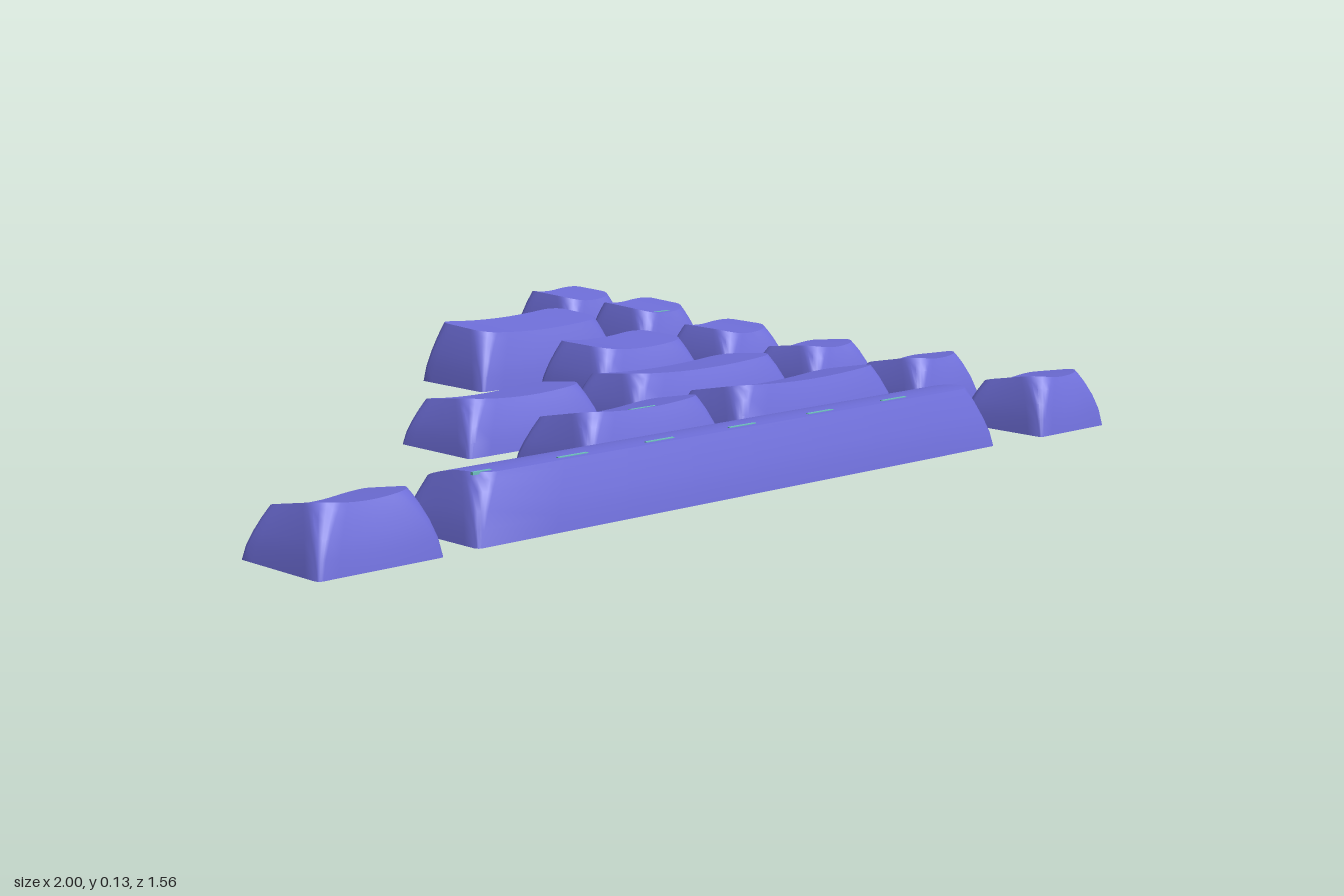
import * as THREE from 'three';
import { toCreasedNormals } from 'three/addons/utils/BufferGeometryUtils.js';

const violet = new THREE.MeshStandardMaterial({ color: 0x7070dc });
violet.name = 'violet plastic';
const teal = new THREE.MeshStandardMaterial({ color: 0x6fc0c0 });
teal.name = 'teal marking';

const EDGE = 8, ARC = 5; // subdivisions of straight edges and corners
const lerp = THREE.MathUtils.lerp;

// Rounded rectangle as [x, z] points, with subdivided straight edges
function outline(hw, hd, r) {
  const corners = [[1, 1], [-1, 1], [-1, -1], [1, -1]];
  const pts = [];
  corners.forEach(([sx, sz], c) => {
    for (let i = 0; i <= ARC; i++) {
      const a = (c + i / ARC) * Math.PI / 2;
      pts.push([sx * (hw - r) + r * Math.cos(a), sz * (hd - r) + r * Math.sin(a)]);
    }
    const [px, pz] = pts[pts.length - 1];
    const [nx, nz] = corners[(c + 1) % 4];
    const a = (c + 1) * Math.PI / 2;
    const qx = nx * (hw - r) + r * Math.cos(a), qz = nz * (hd - r) + r * Math.sin(a);
    for (let i = 1; i < EDGE; i++) pts.push([lerp(px, qx, i / EDGE), lerp(pz, qz, i / EDGE)]);
  });
  return pts;
}

// Skin consecutive loops of equal point count
function skin(loops) {
  const n = loops[0].length, index = [];
  for (let k = 0; k < loops.length - 1; k++) {
    for (let i = 0; i < n; i++) {
      const a = k * n + i, b = k * n + (i + 1) % n;
      index.push(a, b, a + n, b, b + n, a + n);
    }
  }
  const g = new THREE.BufferGeometry();
  g.setAttribute('position', new THREE.Float32BufferAttribute(loops.flat(2), 3));
  g.setIndex(index);
  return toCreasedNormals(g, 0.6);
}

const SIDE = 0.033, FRONT = 0.032, BACK = 0.015, WALL = 0.015;

// Height of the sloping, dished top; the long bar bulges instead
function topHeight(k, x, z) {
  const u = x / (k.w / 2 - SIDE);
  const v = (z - (BACK - FRONT) / 2) / (k.d / 2 - (BACK + FRONT) / 2);
  const plane = lerp(k.backY, k.frontY, (v + 1) / 2);
  return k.bar ? plane + 0.01 * (1 - v * v) : plane - 0.01 * (1 - u * u);
}

// Hollow cap: top centre -> rim -> outer walls -> bottom lip -> inner walls -> ceiling
function capGeometry(k) {
  const level = (t, wall, drop) => {
    const e = Math.pow(t, 1.4);
    const pts = outline(k.w / 2 - SIDE * e - wall, k.d / 2 - (FRONT + BACK) / 2 * e - wall,
      lerp(0.01, 0.038, e) - wall * 0.3 * e);
    return pts.map(([x, z]) => {
      const zz = z + (BACK - FRONT) / 2 * e;
      return [x, t * (topHeight(k, x, zz) - drop), zz];
    });
  };
  const shrink = (loop, s, drop) => loop.map(([x, , z]) => {
    const zc = (BACK - FRONT) / 2;
    const px = x * s, pz = zc + (z - zc) * s;
    return [px, topHeight(k, px, pz) - drop, pz];
  });
  const ts = [1, 0.9, 0.75, 0.5, 0.25, 0];
  const rim = level(1, 0, 0), ceiling = level(1, WALL, 0.016);
  const loops = [0, 0.2, 0.4, 0.6, 0.8].map(s => shrink(rim, s, 0));
  ts.forEach(t => loops.push(level(t, 0, 0)));
  [0, 0.5, 1].forEach(t => loops.push(level(t, WALL, 0.016)));
  [0.66, 0.33, 0].forEach(s => loops.push(shrink(ceiling, s, 0.016)));
  return skin(loops);
}

// Round post with a cross-shaped socket, opening downward
function stemGeometry(height) {
  const shape = new THREE.Shape().absarc(0, 0, 0.03, 0, Math.PI * 2, false);
  const l = 0.022, s = 0.007;
  const cross = [[s, l], [s, s], [l, s], [l, -s], [s, -s], [s, -l],
    [-s, -l], [-s, -s], [-l, -s], [-l, s], [-s, s], [-s, l]];
  shape.holes.push(new THREE.Path(cross.map(p => new THREE.Vector2(...p))));
  const g = new THREE.ExtrudeGeometry(shape, { depth: height, bevelEnabled: false, curveSegments: 12 });
  return g.rotateX(-Math.PI / 2);
}

// Front and back top heights of each row, from back to front
const rows = [[0.127, 0.132], [0.124, 0.131], [0.107, 0.108], [0.108, 0.088], [0.118, 0.086], [0.116, 0.086]];

// [name, row, centre x, centre z, width, stem offsets, marking offsets]
const ONE = [0], THREE_STEMS = [-0.135, 0, 0.135];
const keys = [
  ['sideKey1', 0, 0.893, -0.682, 0.205, ONE, []],
  ['wideKeyRow2', 1, 0.507, -0.43, 0.415, THREE_STEMS, []],
  ['sideKey2', 1, 0.893, -0.434, 0.205, ONE, [0]],
  ['wideKeyRow3', 2, 0.57, -0.175, 0.31, ONE, []],
  ['sideKey3', 2, 0.893, -0.173, 0.205, ONE, []],
  ['innerKeyRow4', 3, -0.02, 0.104, 0.36, ONE, []],
  ['wideKeyRow4', 3, 0.472, 0.106, 0.468, THREE_STEMS, []],
  ['sideKey4', 3, 0.882, 0.093, 0.205, ONE, []],
  ['innerKeyRow5', 4, 0.018, 0.39, 0.365, ONE, [0]],
  ['wideKeyRow5', 4, 0.486, 0.375, 0.468, THREE_STEMS, []],
  ['sideKey5', 4, 0.882, 0.375, 0.205, ONE, []],
  ['cornerKey', 5, -0.872, 0.674, 0.256, ONE, []],
  ['longBar', 5, -0.008, 0.668, 1.326, [-0.54, -0.42, 0, 0.12, 0.42, 0.54],
    [-0.615, -0.412, -0.206, 0, 0.206, 0.412]],
  ['sideKey6', 5, 0.893, 0.674, 0.205, ONE, []],
];

export function createModel() {
  const model = new THREE.Group();
  model.name = 'keycapSet';
  const add = (parent, geometry, material, name) => {
    const mesh = new THREE.Mesh(geometry, material);
    mesh.name = name;
    parent.add(mesh);
    return mesh;
  };
  for (const [name, row, x, z, w, stems, marks] of keys) {
    const k = { w, d: 0.204, frontY: rows[row][0], backY: rows[row][1], bar: name === 'longBar' };
    if (k.bar) [k.frontY, k.backY] = [0.114, 0.083];
    const key = new THREE.Group();
    key.name = name;
    key.position.set(x, 0, z);
    add(key, capGeometry(k), violet, 'cap');
    // Mounting stems
    for (const sx of stems) {
      const bottom = 0.012;
      const stem = add(key, stemGeometry(topHeight(k, sx, 0) - 0.012 - bottom), violet, 'stem');
      stem.position.set(sx, bottom, 0);
    }
    // Thin dashes near the front edge of the top
    for (const mx of marks) {
      const mz = 0.055, edge = mx < -0.6;
      const dash = add(key, new THREE.BoxGeometry(edge ? 0.04 : 0.068, 0.005, 0.006), teal, 'marking');
      dash.position.set(mx, topHeight(k, mx, mz) - 0.0012, mz);
    }
    model.add(key);
  }
  return model;
}
